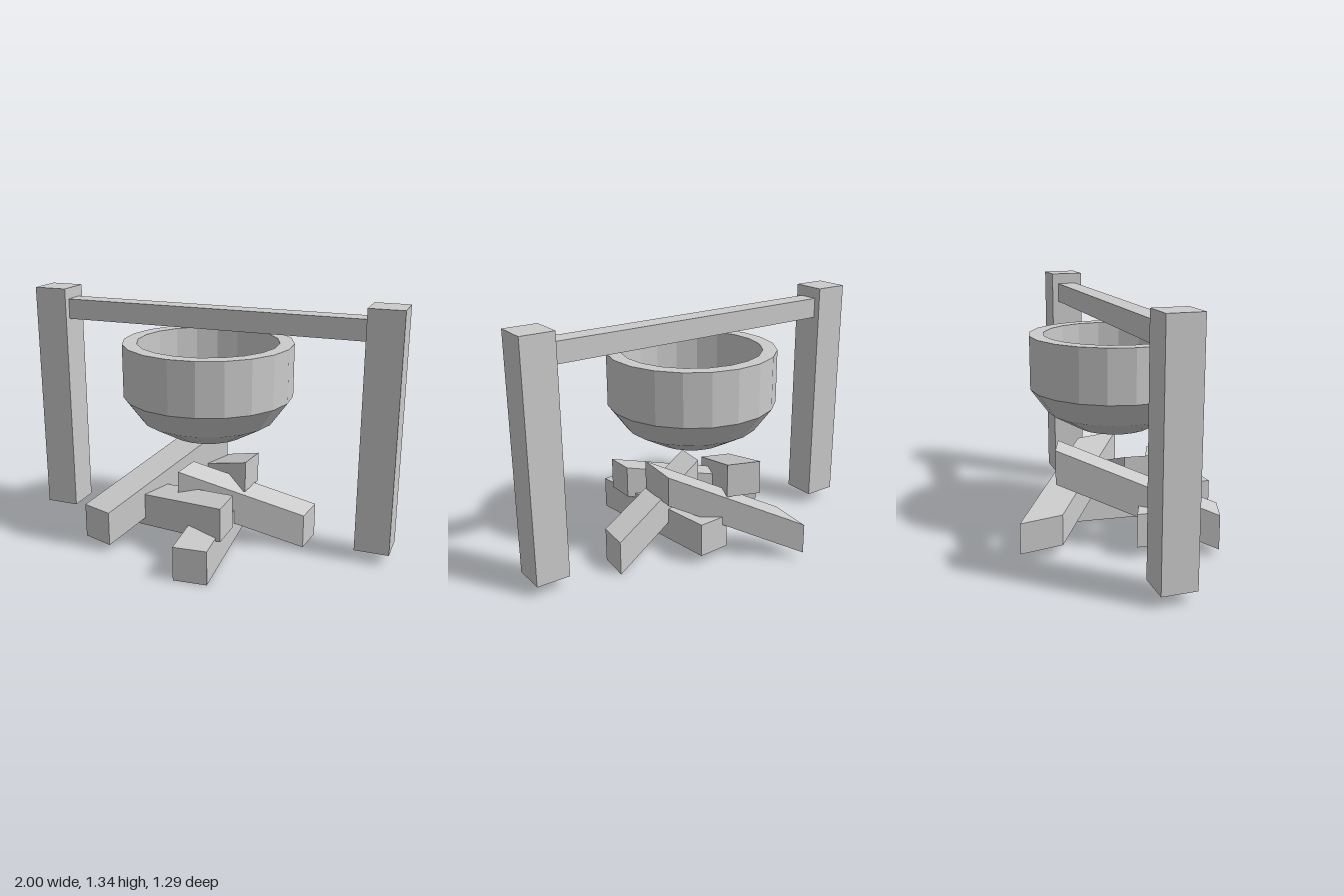
import * as THREE from 'three';

const material = new THREE.MeshStandardMaterial({ color: 0xcccccc, flatShading: true });

function addMesh(parent, name, geometry, x = 0, y = 0, z = 0) {
  const mesh = new THREE.Mesh(geometry, material);
  mesh.name = name;
  mesh.position.set(x, y, z);
  parent.add(mesh);
  return mesh;
}

// Slanted log: a and b are the bottom corners of its outer end,
// run leads from that end to the other, both ends stay upright
function logGeometry(a, b, run, height) {
  const start = new THREE.Vector3(...a);
  const end = new THREE.Vector3(...b);
  const along = new THREE.Vector3(...run);
  const up = new THREE.Vector3(0, height, 0);
  const across = end.clone().sub(start);
  const centre = start.clone().add(end).add(along).add(up).multiplyScalar(0.5);
  const matrix = new THREE.Matrix4().makeBasis(along, up, across);
  // keep the faces turned outwards
  if (matrix.determinant() < 0) matrix.makeBasis(along, up, across.negate());
  matrix.setPosition(centre);
  return new THREE.BoxGeometry(1, 1, 1).applyMatrix4(matrix);
}

export function createModel() {
  const model = new THREE.Group();
  model.name = 'campfireCauldron';

  // Hanging frame: two posts and a crossbar, turned about the vertical
  const frame = new THREE.Group();
  frame.name = 'frame';
  frame.rotation.y = -0.27;
  model.add(frame);
  for (const side of [-1, 1]) {
    addMesh(frame, side < 0 ? 'rightPost' : 'leftPost',
      new THREE.BoxGeometry(0.183, 1.275, 0.183), side * 0.919, 0.6975, 0);
  }
  addMesh(frame, 'crossbar', new THREE.BoxGeometry(1.66, 0.11, 0.11), 0, 1.22, 0);

  // Cauldron: thick walled pot with a tapered base
  const profile = [
    [0, 0.59], [0.2, 0.59], [0.36, 0.68], [0.455, 0.81],
    [0.455, 1.095], [0.378, 1.095], [0.378, 0.715], [0, 0.715],
  ].map(([r, y]) => new THREE.Vector2(r, y));
  const pot = addMesh(model, 'cauldron', new THREE.LatheGeometry(profile, 20), -0.02, 0, 0.018);
  pot.rotation.y = -0.04;

  // Firewood: five logs leaning over one another
  const logs = [
    ['rightLog', [-0.67, 0.04, 0.23], [-0.52, 0.04, 0.335], [0.58, 0.305, -0.625], 0.185],
    ['frontLog', [-0.14, 0, 0.61], [0.035, 0, 0.645], [0.2, 0.053, -0.9], 0.183],
    ['leftLog', [0.575, 0, 0.012], [0.51, 0, 0.18], [-0.675, 0.235, 0.02], 0.185],
    ['backLog', [-0.155, 0.04, -0.645], [-0.215, 0.06, -0.43], [0.408, 0.25, 0.6], 0.165],
    ['middleLog', [0.09, 0.18, 0.527], [0.14, 0.185, 0.36], [-0.59, -0.126, -0.49], 0.18],
  ];
  const firewood = new THREE.Group();
  firewood.name = 'firewood';
  model.add(firewood);
  for (const [name, a, b, run, height] of logs) {
    addMesh(firewood, name, logGeometry(a, b, run, height));
  }

  return model;
}
